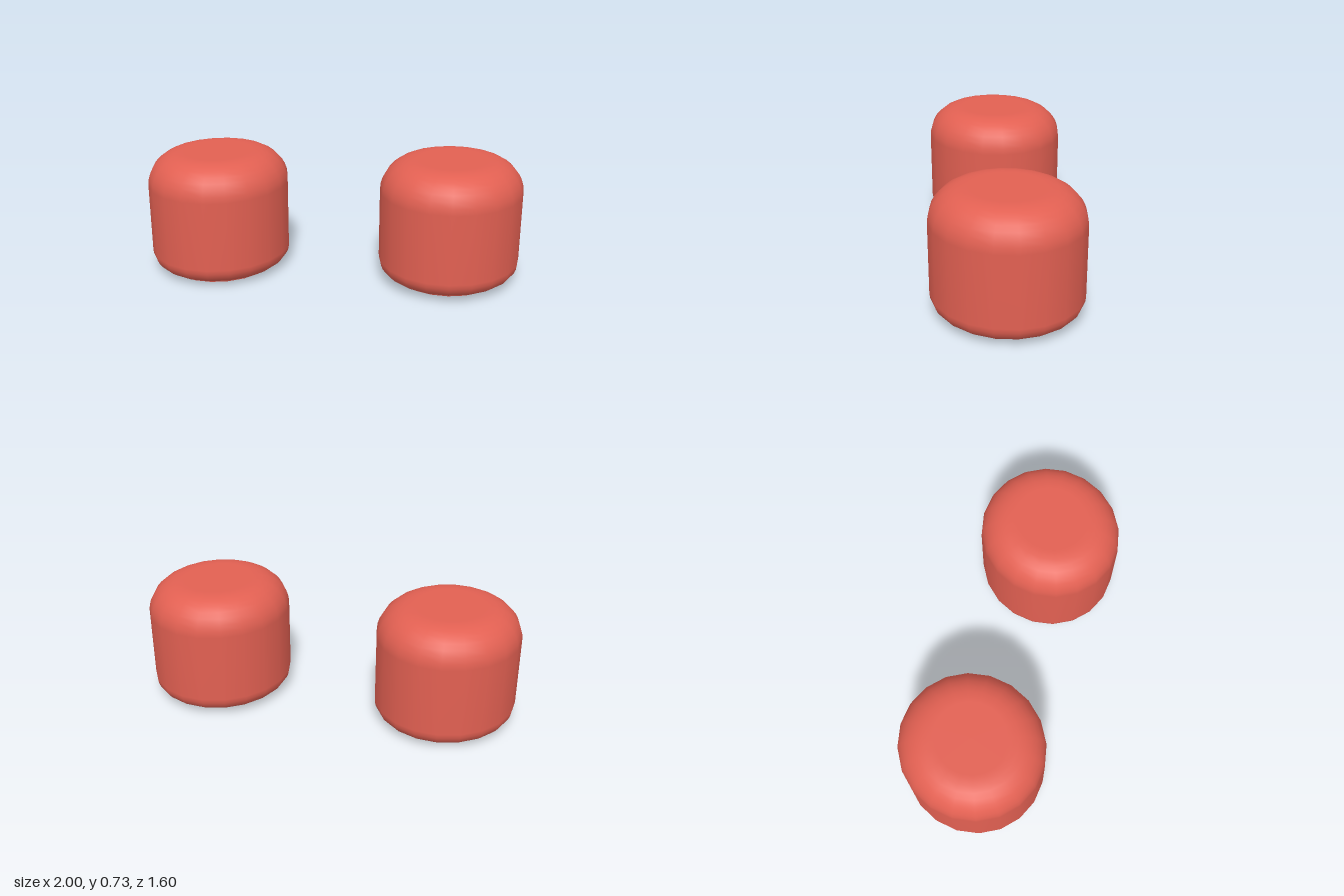
import * as THREE from 'three';

const SIDES = 20;

// Quarter-round profile points around (cx, cy)
function arc(cx, cy, rx, ry, from, to, steps) {
  return Array.from({ length: steps + 1 }, (_, i) => {
    const a = from + (to - from) * i / steps;
    return new THREE.Vector2(cx + rx * Math.cos(a), cy + ry * Math.sin(a));
  });
}

function createPad(name) {
  const pad = new THREE.Group();
  pad.name = name;
  const material = new THREE.MeshStandardMaterial({ color: 0xe26052 });

  // Rounded body: small radius below, large radius above
  const profile = [
    new THREE.Vector2(0, 0.015),
    new THREE.Vector2(0.29, 0.015),
    ...arc(0.31, 0.115, 0.1, 0.1, -Math.PI / 2, 0, 6),
    ...arc(0.22, 0.53, 0.19, 0.19, 0, Math.PI / 2, 8),
    new THREE.Vector2(0.2, 0.72),
    new THREE.Vector2(0, 0.72),
  ];
  const body = new THREE.Mesh(new THREE.LatheGeometry(profile, SIDES), material);
  body.name = 'body';

  // Thin foot disc under the body
  const footGeometry = new THREE.CylinderGeometry(0.317, 0.312, 0.014, SIDES);
  const foot = new THREE.Mesh(footGeometry, material);
  foot.name = 'foot';
  foot.position.y = 0.007;

  pad.add(body, foot);
  pad.scale.z = 1.044; // slightly oval, longer front to back
  return pad;
}

export function createModel() {
  const model = new THREE.Group();
  model.name = 'pads';

  const right = createPad('rightPad');
  right.position.set(-0.59, 0, 0.372);

  // The left pad sits further back and a touch higher
  const left = createPad('leftPad');
  left.position.set(0.59, 0.01, -0.372);

  model.add(right, left);
  return model;
}
